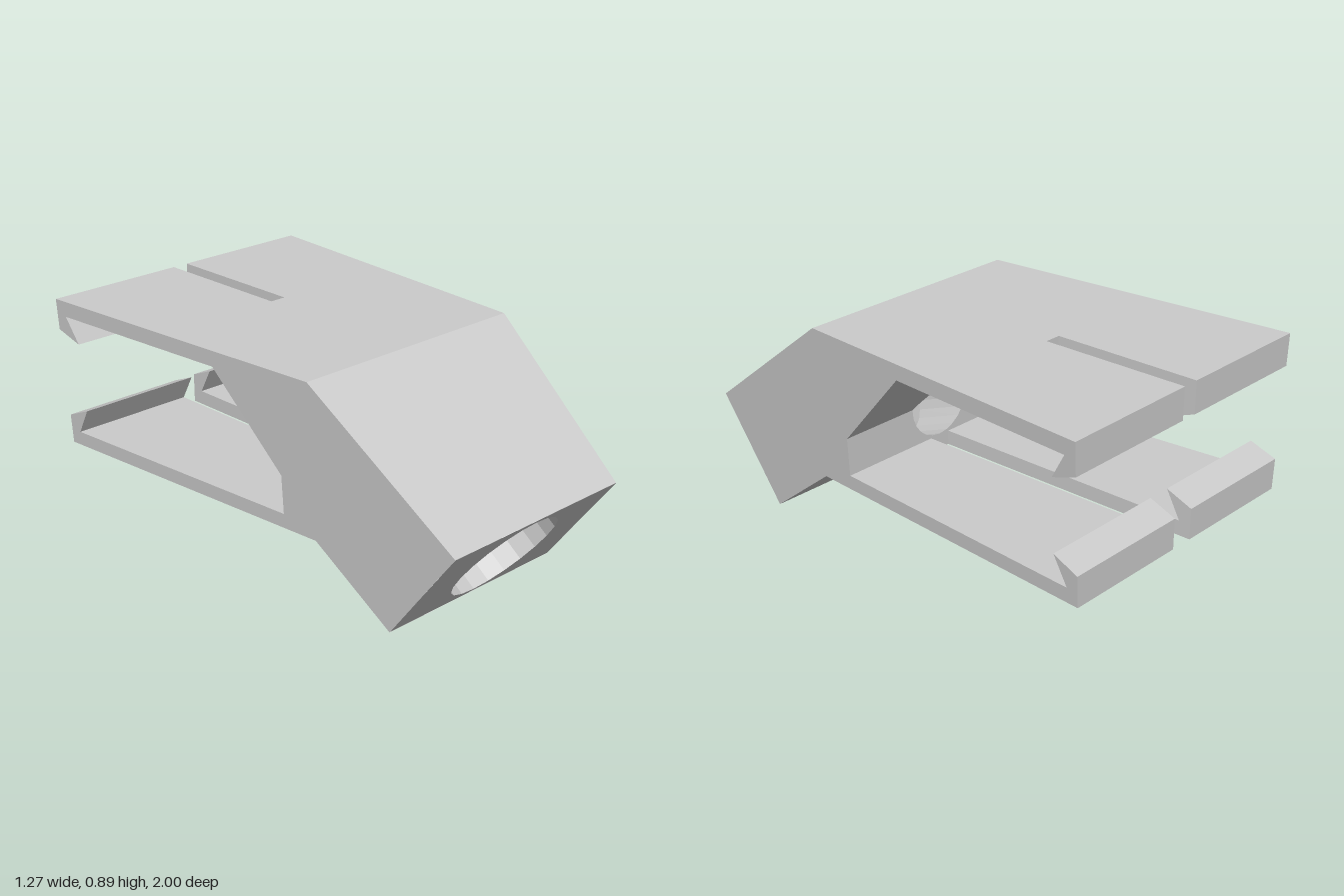
import * as THREE from 'three';

const material = new THREE.MeshStandardMaterial({ color: 0xcccccc, flatShading: true, side: THREE.DoubleSide });
const V2 = (a, b) => new THREE.Vector2(a, b);

// Half width grows evenly along the tilted axis of the clip
const halfWidth = (z, y) => 0.4425 + 0.1016 * ((1 - z) * 0.8 + (y - 0.41) * 0.6);

// Outline as [z, y, half gap of the strip that starts here]; null = panel made separately
const outline = [
  [1, 0.41, 0], [0.355, 0.895, 0],
  [-0.38, 0.895, 0.035], [-1, 0.895, 0.035], [-1, 0.765, 0.035], [-0.89, 0.725, 0.035], [-0.95, 0.83, 0.035],
  [-0.38, 0.83, 0], [-0.12, 0.83, null], [0.2, 0.48, null],
  [0.2, 0.32, 0.05], [-0.95, 0.32, 0.05], [-0.89, 0.43, 0.05], [-1, 0.385, 0.05], [-1, 0.26, 0.05],
  [0.2, 0.26, 0], [0.355, 0.26, 0], [0.695, 0, null],
];

export function createModel() {
  const group = new THREE.Group();

  const add = (name, geometry) => {
    const flat = geometry.index ? geometry.toNonIndexed() : geometry;
    flat.computeVertexNormals();
    const mesh = new THREE.Mesh(flat, material);
    mesh.name = name;
    group.add(mesh);
  };

  // Flat shape whose 2D points are placed in space by a rule
  const panel = (name, points, place, hole) => {
    const shape = new THREE.Shape(points);
    if (hole) shape.holes.push(new THREE.Path(hole));
    const geometry = new THREE.ShapeGeometry(shape);
    const p = geometry.attributes.position;
    for (let i = 0; i < p.count; i++) p.setXYZ(i, ...place(p.getX(i), p.getY(i)));
    add(name, geometry);
  };

  // Surface between two rings of points
  const loft = (name, a, b, closed = true) => {
    const pos = [];
    const n = a.length;
    for (let i = 0; i < (closed ? n : n - 1); i++) {
      const j = (i + 1) % n;
      pos.push(...a[i], ...a[j], ...b[j], ...a[i], ...b[j], ...b[i]);
    }
    const geometry = new THREE.BufferGeometry();
    geometry.setAttribute('position', new THREE.Float32BufferAttribute(pos, 3));
    add(name, geometry);
  };

  const circle = (r, n, cy = 0, from = 0, to = n) => {
    const pts = [];
    for (let i = from; i <= to; i++) {
      if (i === n && from === 0) break;
      const t = (i / n) * Math.PI * 2;
      pts.push(V2(r * Math.cos(t), cy + r * Math.sin(t)));
    }
    return pts;
  };

  // Side walls and slot walls
  const upperTip = outline.slice(2, 8).map(([z, y]) => V2(z, y));
  const lowerTip = outline.slice(10, 16).map(([z, y]) => V2(z, y));
  for (const s of [-1, 1]) {
    panel('sideWall', outline.map(([z, y]) => V2(z, y)), (z, y) => [s * halfWidth(z, y), y, z]);
    panel('upperSlotWall', upperTip, (z, y) => [s * 0.035, y, z]);
    panel('lowerSlotWall', lowerTip, (z, y) => [s * 0.05, y, z]);

    // Outer and inner faces following the outline
    outline.forEach(([z, y, gap], i) => {
      if (gap === null) return;
      const [z2, y2] = outline[(i + 1) % outline.length];
      loft(i > 1 && i < 8 ? 'upperArm' : i > 9 && i < 15 ? 'lowerArm' : 'bodyFace',
        [[s * gap, y, z], [s * halfWidth(z, y), y, z]],
        [[s * gap, y2, z2], [s * halfWidth(z2, y2), y2, z2]], false);
    });
  }
  const slotEnd = (name, g, z, y1, y2) => loft(name, [[-g, y1, z], [g, y1, z]], [[-g, y2, z], [g, y2, z]], false);
  slotEnd('upperSlotEnd', 0.035, -0.38, 0.83, 0.895);
  slotEnd('lowerSlotEnd', 0.05, 0.2, 0.26, 0.32);

  // Tilted front face with the round socket
  const tilted = (depth) => (x, u) => [x, 0.205 + 0.8 * u + 0.6 * depth, 0.8475 + 0.6 * u - 0.8 * depth];
  const place = (pts, rule) => pts.map((p) => rule(p.x, p.y));
  const w = 0.4425, h = 0.2555, depth = 0.39;
  const mouth = circle(0.24, 20);
  panel('frontFace', [V2(-w, -h), V2(w, -h), V2(w, h), V2(-w, h)], tilted(0), mouth);
  loft('socketWall', place(mouth, tilted(0)), place(mouth, tilted(depth)));

  // Socket floor with the narrower passage leading into the jaw
  const r = 0.155, n = 24;
  const inlet = circle(r, n, -0.08);
  const jawRule = (x, y) => [x, y, y <= 0.48 ? 0.2 : 0.2 - (y - 0.48) * 0.32 / 0.35];
  panel('socketFloor', mouth, tilted(depth), inlet);
  loft('passage', place(inlet, tilted(depth)), place(circle(r, n, 0.48), jawRule));

  // Inner end of the jaw: upright wall and sloped wall around the passage
  const wa = halfWidth(0.2, 0.32), wb = halfWidth(0.2, 0.48), wc = halfWidth(-0.12, 0.83);
  const lowerArc = circle(r, n, 0.48, n / 2, n).reverse();
  const upperArc = circle(r, n, 0.48, 0, n / 2).reverse();
  panel('jawWall', [V2(-wa, 0.32), V2(wa, 0.32), V2(wb, 0.48), ...lowerArc, V2(-wb, 0.48)], (x, y) => [x, y, 0.2]);
  panel('jawSlope', [V2(-wb, 0.48), ...upperArc, V2(wb, 0.48), V2(wc, 0.83), V2(-wc, 0.83)], jawRule);

  return group;
}
